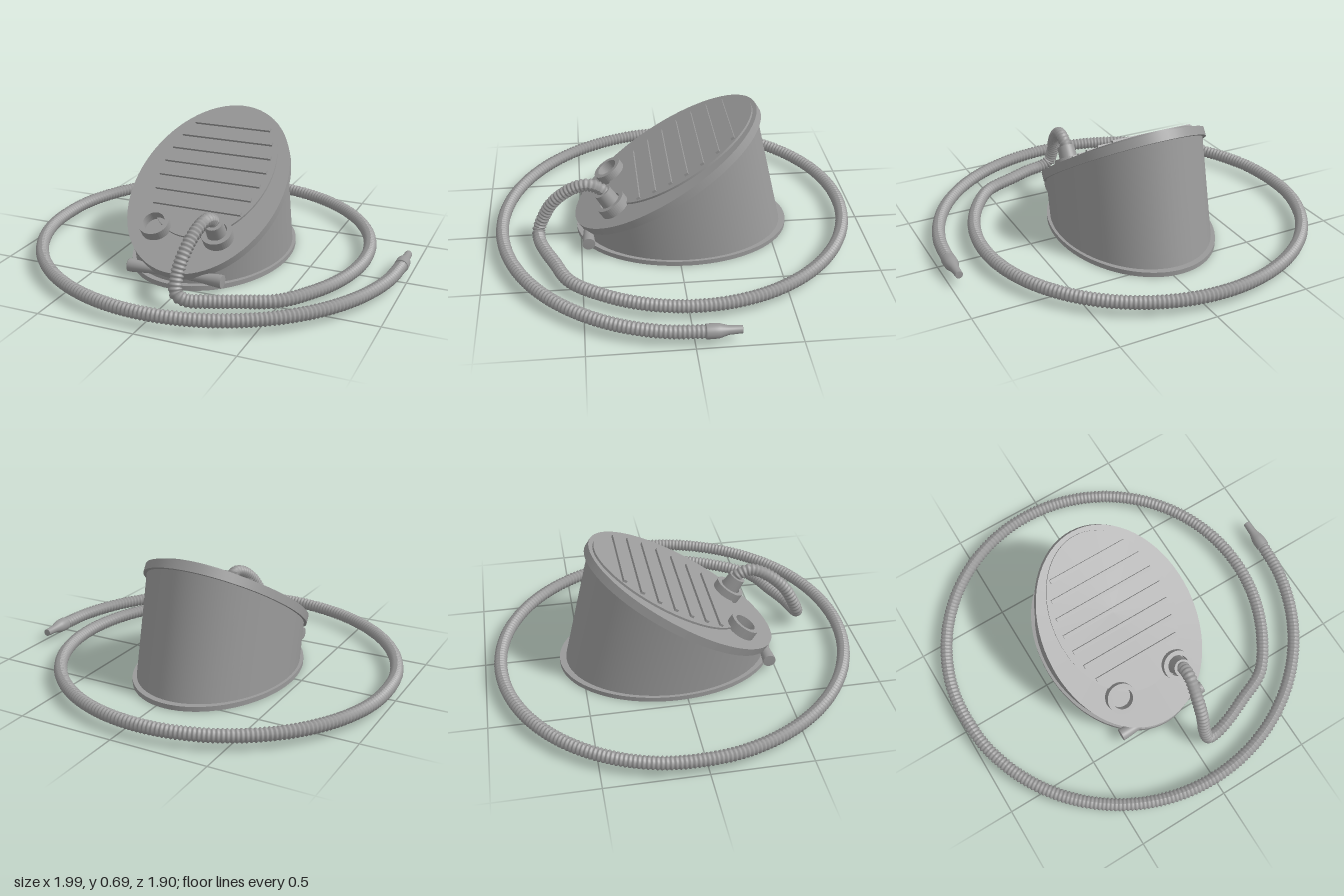
import * as THREE from 'three';

const TILT = 0.567;   // slope of the pedal lid
const CX = -0.05;     // pump centre line
const RX = 0.41, RZ = 0.565;

export function createModel() {
  const root = new THREE.Group();
  root.name = 'footPump';
  const grey = new THREE.MeshStandardMaterial({ color: 0x999999 });
  grey.name = 'grey plastic';

  const add = (parent, name, geo, x = 0, y = 0, z = 0) => {
    const mesh = new THREE.Mesh(geo, grey);
    mesh.name = name;
    mesh.position.set(x, y, z);
    parent.add(mesh);
    return mesh;
  };
  const lathe = (pts, n = 32) =>
    new THREE.LatheGeometry(pts.map(p => new THREE.Vector2(...p)), n);
  const ellipse = (rx, rz, h) => new THREE.CylinderGeometry(1, 1, h, 72).scale(rx, 1, rz);

  // Base plate
  add(root, 'basePlate', ellipse(RX, RZ, 0.025), CX, 0.0125, -0.045);

  // Tilted lid; its top face is the group's y = 0
  const lid = new THREE.Group();
  lid.name = 'pedalLid';
  lid.position.set(CX, 0.39, 0.05);
  lid.rotation.x = TILT;
  root.add(lid);
  lid.updateMatrix();
  add(lid, 'lidPlate', ellipse(RX, RZ, 0.045), 0, -0.0225, 0);
  add(lid, 'treadPad', ellipse(0.32, 0.445, 0.012), 0, 0.005, -0.097);

  // Tread ribs, half lengths from top to bottom
  [0.217, 0.258, 0.28, 0.288, 0.282, 0.267, 0.243].forEach((half, i) => {
    add(lid, 'treadRib', new THREE.BoxGeometry(half * 2, 0.014, 0.02), 0, 0.017, -0.398 + i * 0.0945);
  });

  // Bellows wall, lofted from the base ellipse to the underside of the lid
  const wall = new THREE.CylinderGeometry(1, 1, 1, 72, 1, true);
  const pos = wall.attributes.position, v = new THREE.Vector3();
  for (let i = 0; i < pos.count; i++) {
    v.fromBufferAttribute(pos, i);
    if (v.y > 0) v.set(v.x * 0.395, -0.04, v.z * 0.545).applyMatrix4(lid.matrix);
    else v.set(CX + v.x * 0.395, 0.02, -0.045 + v.z * 0.532);
    pos.setXYZ(i, v.x, v.y, v.z);
  }
  wall.computeVertexNormals();
  add(root, 'bellowsWall', wall);

  // Air ports: hollow collars standing on the lid
  const collar = () => new THREE.ExtrudeGeometry(ringShape(0.08, 0.056),
    { depth: 0.055, bevelEnabled: false, curveSegments: 24 }).rotateX(-Math.PI / 2);
  add(lid, 'airPort', collar(), -0.173, -0.002, 0.316);
  add(lid, 'hosePort', collar(), 0.17, -0.002, 0.316);
  add(lid, 'hoseConnector', new THREE.CylinderGeometry(0.046, 0.052, 0.122, 32), 0.17, 0.06, 0.316);

  // Front hinge bar with flared ends
  const bar = add(root, 'hingeBar', lathe([
    [0, -0.255], [0.033, -0.255], [0.033, -0.253], [0.033, -0.235], [0.023, -0.12],
    [0.023, 0.12], [0.033, 0.235], [0.033, 0.253], [0.033, 0.255], [0, 0.255]]), CX, 0.06, 0.462);
  bar.rotation.z = Math.PI / 2;

  // Hose path: over the port, down to the floor, then a wide loop
  const Y = 0.0625;
  const path = [
    [0.12, 0.28, 0.348], [0.12, 0.335, 0.386], [0.115, 0.362, 0.45], [0.1, 0.338, 0.53],
    [0.08, 0.25, 0.635], [0.068, 0.15, 0.692], [0.08, 0.085, 0.718], [0.13, Y, 0.716],
    [0.22, Y, 0.692], [0.35, Y, 0.638],
  ].map(p => new THREE.Vector3(...p));
  const arc = (cx, r, from, to) => {
    for (let i = 0; i <= 16; i++) {
      const a = from + (to - from) * i / 16;
      path.push(new THREE.Vector3(cx + r * Math.cos(a), Y, -0.05 + r * Math.sin(a)));
    }
  };
  arc(-0.099, 0.868, 0.78, -3.0);
  arc(-0.005, 0.962, -Math.PI - 0.15, -Math.PI * 2);
  const curve = new THREE.CatmullRomCurve3(path);
  curve.arcLengthDivisions = 2000;

  // Corrugated hose: a tube whose radius steps in and out along its length
  const ribs = Math.round(curve.getLength() / 0.021), sides = 12;
  const hose = new THREE.TubeGeometry(curve, ribs * 4, 0.034, sides, false);
  const hp = hose.attributes.position, c = new THREE.Vector3();
  for (let i = 0; i <= ribs * 4; i++) {
    if (i % 4 < 2) continue;
    curve.getPointAt(i / (ribs * 4), c);
    for (let j = 0; j <= sides; j++) {
      const k = i * (sides + 1) + j;
      v.fromBufferAttribute(hp, k).sub(c).multiplyScalar(0.85).add(c);
      hp.setXYZ(k, v.x, v.y, v.z);
    }
  }
  hose.computeVertexNormals();
  add(root, 'hose', hose);

  // Tapered nozzle on the hose end, pointing backwards
  const nozzle = add(root, 'nozzle', lathe([
    [0, 0], [0.034, 0], [0.036, 0.005], [0.036, 0.04], [0.034, 0.065],
    [0.022, 0.105], [0.019, 0.168], [0.019, 0.17], [0, 0.17]]), 0.957, Y, -0.047);
  nozzle.rotation.x = -Math.PI / 2;

  return root;
}

// Flat ring outline for the port collars
function ringShape(outer, inner) {
  const s = new THREE.Shape().absarc(0, 0, outer, 0, Math.PI * 2, false);
  s.holes.push(new THREE.Path().absarc(0, 0, inner, 0, Math.PI * 2, true));
  return s;
}
